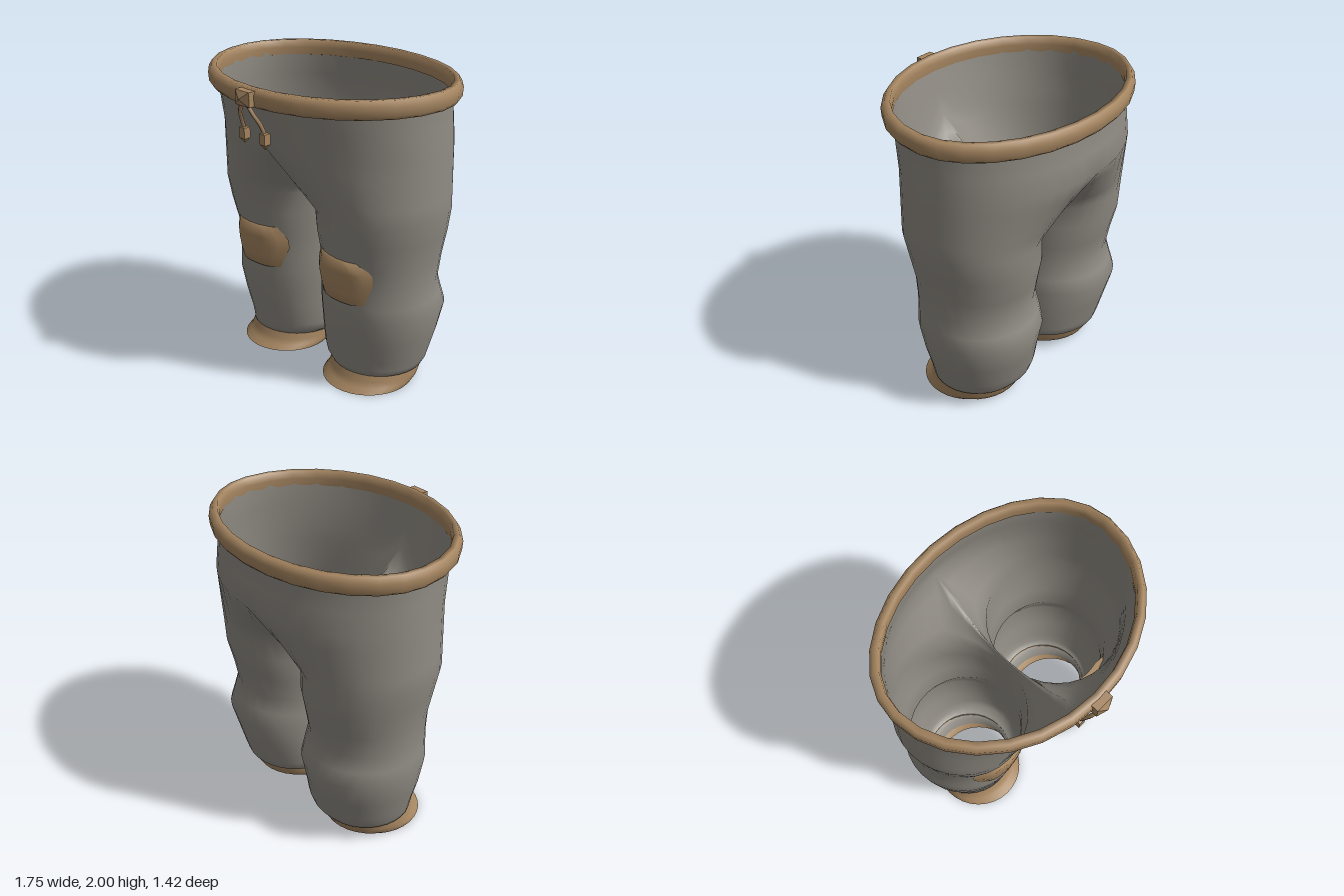
import * as THREE from 'three';
import { mergeGeometries, mergeVertices } from 'three/addons/utils/BufferGeometryUtils.js';

const cloth = new THREE.MeshStandardMaterial({ color: 0x8f8b83, side: THREE.DoubleSide });
cloth.name = 'greyCloth';
const trim = new THREE.MeshStandardMaterial({ color: 0xa58560, side: THREE.DoubleSide });
trim.name = 'tanTrim';

const N = 32, SEAM = 5; // points per leg ring; points each side of the inner seam

// Leg ring from [y, inner x, outer x, front z, back z], starting at the inner side
function ring([y, xi, xo, zf, zb]) {
  return Array.from({ length: N }, (_, j) => {
    const t = (j / N) * Math.PI * 2;
    return [(xi + xo) / 2 - ((xo - xi) / 2) * Math.cos(t), y, (zf + zb) / 2 + ((zf - zb) / 2) * Math.sin(t)];
  });
}

// Skin rows of points; null points leave a gap
function loft(rows, closed = true) {
  const pos = [], idx = [];
  const n = rows[0].length;
  rows.forEach(r => r.forEach(p => pos.push(...(p || [0, 0, 0]))));
  for (let r = 0; r < rows.length - 1; r++) {
    for (let j = 0; j < (closed ? n : n - 1); j++) {
      const k = (j + 1) % n;
      if (!rows[r + 1][j] || !rows[r + 1][k]) continue;
      const a = r * n + j, b = r * n + k;
      idx.push(a, b, a + n, b, b + n, a + n);
    }
  }
  const g = new THREE.BufferGeometry();
  g.setAttribute('position', new THREE.Float32BufferAttribute(pos, 3));
  g.setIndex(idx);
  g.computeVertexNormals();
  return g;
}

function mirrored(g) {
  const m = g.clone().scale(-1, 1, 1);
  const i = m.index.array;
  for (let k = 0; k < i.length; k += 3) [i[k], i[k + 1]] = [i[k + 1], i[k]];
  m.computeVertexNormals();
  return m;
}

// Half hip outline from front centre round to back centre
const hipPoint = (u, y, rx, zf, zb) => {
  const p = u * Math.PI, c = Math.cos(p);
  return [u === 0 || u === 1 ? 0 : rx * Math.sin(p), y, -0.09 + c * (c > 0 ? zf + 0.09 : -0.09 - zb)];
};

function trouserGeometry() {
  const rows = [
    [0.03, 0.115, 0.665, 0.21, -0.335], [0.1, 0.115, 0.665, 0.175, -0.365],
    [0.105, 0.08, 0.7, 0.205, -0.4], [0.14, 0.03, 0.715, 0.21, -0.43],
    [0.2, 0.012, 0.73, 0.22, -0.45], [0.35, 0.01, 0.77, 0.25, -0.485],
    [0.52, 0.008, 0.8, 0.28, -0.53], [0.62, 0.012, 0.785, 0.28, -0.495],
    [0.72, 0.02, 0.775, 0.28, -0.46], [0.88, 0.015, 0.785, 0.29, -0.49],
    [1.05, 0.01, 0.81, 0.335, -0.53], [1.2, 0.006, 0.838, 0.355, -0.53],
  ].map(ring);
  // Crotch seam on the centre line, from front to back
  const seam = new THREE.CatmullRomCurve3([
    [1.62, 0.52], [1.46, 0.35], [1.33, 0.1], [1.28, -0.1], [1.32, -0.3], [1.43, -0.5], [1.62, -0.7],
  ].map(([y, z]) => new THREE.Vector3(0, y, z)));
  const span = N - 2 * SEAM;
  const hipRow = (y, rx, zf, zb) => Array.from({ length: N }, (_, j) =>
    j < SEAM || j > N - SEAM ? null : hipPoint((j - SEAM) / span, y, rx, zf, zb));
  const crotch = hipRow(1.62, 0.825, 0.52, -0.7);
  for (let d = -SEAM + 1; d < SEAM; d++) {
    const p = seam.getPoint((SEAM - d) / (2 * SEAM));
    crotch[(d + N) % N] = [0, p.y, p.z];
  }
  const top = rows[rows.length - 1];
  for (const t of [0.25, 0.5, 0.75]) {
    rows.push(top.map((p, j) => p.map((v, k) => v + (crotch[j][k] - v) * t)));
  }
  rows.push(crotch, hipRow(1.76, 0.818, 0.555, -0.68), hipRow(1.9, 0.81, 0.59, -0.66), hipRow(1.95, 0.82, 0.6, -0.67));
  const half = loft(rows);
  const all = mergeGeometries([half, mirrored(half)]);
  all.deleteAttribute('normal');
  const g = mergeVertices(all, 1e-4);
  g.computeVertexNormals();
  return g;
}

// Rounded band swept round the waist
function waistbandGeometry() {
  const section = [[-0.026, 1.9], [0.012, 1.888], [0.03, 1.91], [0.034, 1.965], [0.012, 2], [-0.022, 2], [-0.03, 1.95], [-0.026, 1.9]];
  const n = 28;
  return loft(section.map(([o, y]) => Array.from({ length: n }, (_, i) => {
    const t = (i / n) * Math.PI * 2, c = Math.cos(t);
    return [Math.sin(t) * (0.84 + o), y, -0.09 + c * ((c > 0 ? 0.705 : 0.588) + o)];
  })));
}

// Curved knee patch with cut corners, following the front of the leg
function patchGeometry() {
  const outline = [[0.645, 0.2, 0.57], [0.72, 0.17, 0.595], [0.795, 0.14, 0.62], [0.86, 0.147, 0.62], [0.94, 0.205, 0.565]];
  const steps = 10;
  const surface = (x, y) => -0.095 + (0.375 + (y - 0.72) * 0.07) * Math.sqrt(1 - ((x - 0.395) / 0.395) ** 2);
  const row = ([y, x0, x1], lift) => Array.from({ length: steps + 1 }, (_, i) => {
    const s = i / steps, x = x0 + (x1 - x0) * s;
    const edge = Math.min(1, 5 * Math.min(s, 1 - s));
    return [x, y, surface(x, y) + lift * edge];
  });
  const lifts = [0.02, 0.032, 0.036, 0.036, 0.036];
  return loft([row(outline[0], -0.03), ...outline.map((o, i) => row(o, lifts[i])), row(outline[4], -0.03)], false);
}

export function createModel() {
  const model = new THREE.Group();
  model.name = 'trousers';
  const add = (name, geo, mat, parent = model) => {
    const m = new THREE.Mesh(geo, mat);
    m.name = name;
    parent.add(m);
    return m;
  };

  add('trouserBody', trouserGeometry(), cloth);
  add('waistband', waistbandGeometry(), trim);

  // Ankle cuffs, flared forward at the hem
  const cuff = loft([
    [0.04, 0.108, 0.672, 0.215, -0.345], [0, 0.1, 0.68, 0.28, -0.3], [0, 0.09, 0.69, 0.295, -0.312],
    [0.025, 0.09, 0.69, 0.245, -0.355], [0.06, 0.09, 0.69, 0.22, -0.375], [0.115, 0.093, 0.685, 0.195, -0.392],
  ].map(ring));
  const patch = patchGeometry();
  add('leftCuff', cuff, trim);
  add('rightCuff', mirrored(cuff), trim);
  add('leftKneePatch', patch, trim);
  add('rightKneePatch', mirrored(patch), trim);

  // Faceted drawstring clasp
  const clasp = new THREE.Group();
  clasp.name = 'drawstringClasp';
  const block = add('claspBlock', new THREE.BoxGeometry(0.12, 0.09, 0.055), trim, clasp);
  block.position.set(0, 1.945, 0.65);
  const point = new THREE.ConeGeometry(0.085, 0.028, 4, 1, true).toNonIndexed();
  point.rotateY(Math.PI / 4).rotateX(Math.PI / 2).scale(1, 0.75, 1);
  point.computeVertexNormals();
  add('claspFace', point, trim, clasp).position.set(0, 1.945, 0.691);
  model.add(clasp);

  // Drawstrings with pointed ends
  for (const [side, s] of [['left', 1], ['right', -1]]) {
    const path = new THREE.CatmullRomCurve3([[0.025, 1.91, 0.66], [0.06, 1.85, 0.645], [0.083, 1.79, 0.615], [0.09, 1.73, 0.592]]
      .map(([x, y, z]) => new THREE.Vector3(x * s, y, z)));
    add(side + 'Drawstring', new THREE.TubeGeometry(path, 8, 0.013, 6), trim);
    const tip = new THREE.LatheGeometry([[0, -0.055], [0.022, -0.03], [0.033, -0.022], [0.033, 0.045], [0.012, 0.05], [0, 0.05]]
      .map(p => new THREE.Vector2(...p)), 4).toNonIndexed();
    tip.rotateY(Math.PI / 4);
    tip.computeVertexNormals();
    add(side + 'DrawstringTip', tip, trim).position.set(0.09 * s, 1.69, 0.59);
  }
  return model;
}
